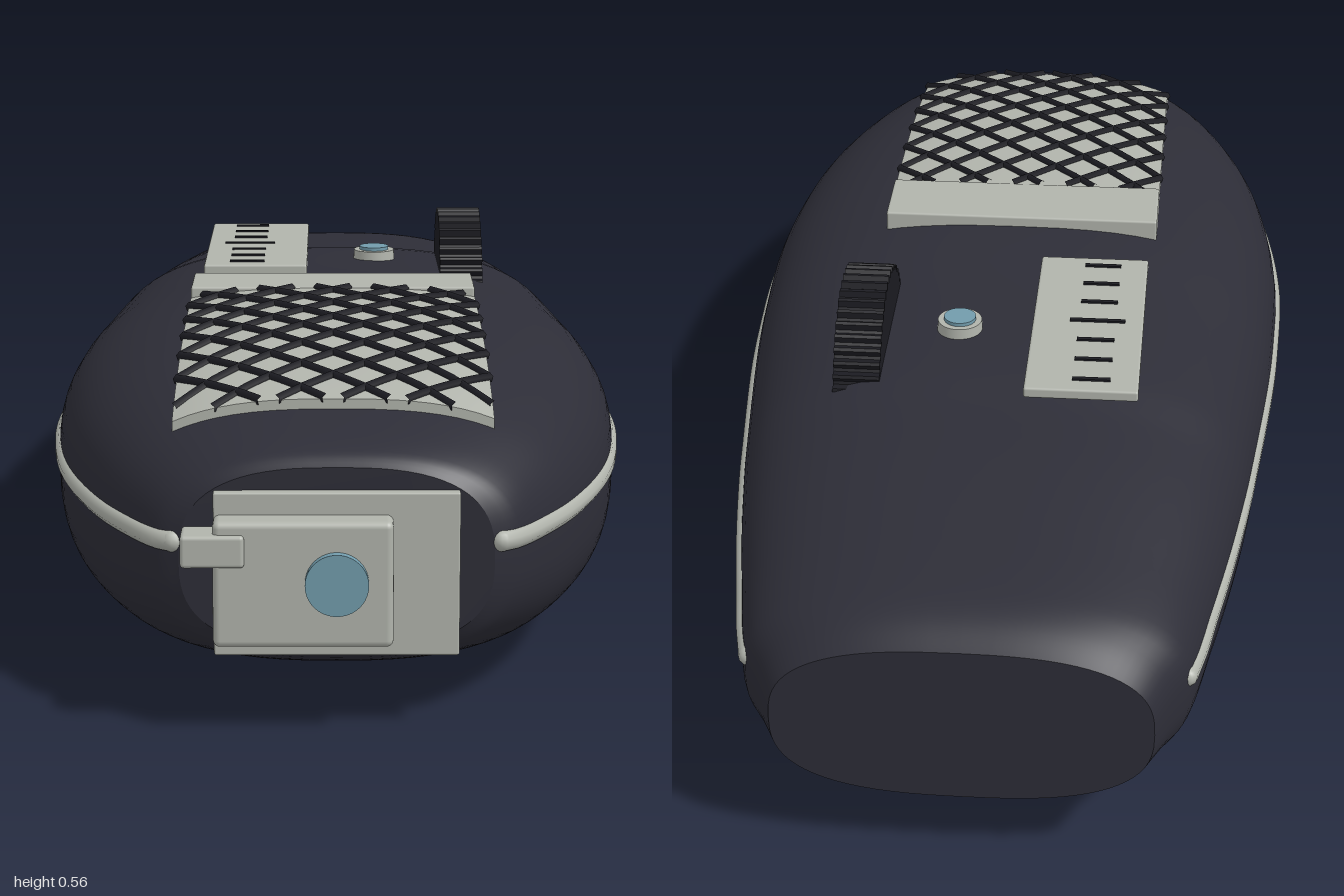
import * as THREE from 'three';
import { RoundedBoxGeometry } from 'three/addons/geometries/RoundedBoxGeometry.js';

const mat = (name, color, extra = {}) => {
  const m = new THREE.MeshStandardMaterial({ color, ...extra });
  m.name = name;
  return m;
};

// Body stations: z, half width, bottom, top
const STATIONS = [
  [-1, 0.28, 0.11, 0.37], [-0.95, 0.305, 0.102, 0.393], [-0.9, 0.332, 0.095, 0.405],
  [-0.75, 0.36, 0.073, 0.424], [-0.6, 0.385, 0.052, 0.441], [-0.45, 0.406, 0.033, 0.455],
  [-0.38, 0.414, 0.026, 0.466], [-0.1, 0.443, 0.007, 0.476], [0.05, 0.452, 0.004, 0.486],
  [0.25, 0.456, 0.004, 0.488], [0.45, 0.437, 0.011, 0.481], [0.6, 0.405, 0.022, 0.467],
  [0.75, 0.352, 0.044, 0.445], [0.85, 0.3, 0.072, 0.421], [0.91, 0.258, 0.097, 0.4], [0.93, 0.225, 0.115, 0.385],
];
const N = 2.7;

// Smooth interpolation between stations
function profile(z) {
  const S = STATIONS, last = S.length - 1;
  let i = 0;
  while (i < last - 1 && z > S[i + 1][0]) i++;
  const slope = (k, c) => {
    const a = S[Math.max(k - 1, 0)], b = S[Math.min(k + 1, last)];
    return (b[c] - a[c]) / (b[0] - a[0]);
  };
  const d = S[i + 1][0] - S[i][0];
  const t = THREE.MathUtils.clamp((z - S[i][0]) / d, 0, 1), t2 = t * t, t3 = t2 * t;
  const [w, bottom, top] = [1, 2, 3].map((c) =>
    (2 * t3 - 3 * t2 + 1) * S[i][c] + (t3 - 2 * t2 + t) * d * slope(i, c)
    + (3 * t2 - 2 * t3) * S[i + 1][c] + (t3 - t2) * d * slope(i + 1, c));
  return { w, c: (top + bottom) / 2, h: (top - bottom) / 2 };
}
const arc = (u) => Math.pow(Math.max(0, 1 - Math.pow(Math.abs(u), N)), 1 / N);
const surfaceY = (x, z, sign = 1) => {
  const p = profile(z);
  return p.c + sign * p.h * arc(x / p.w);
};
const sideX = (y, z) => {
  const p = profile(z);
  return p.w * arc((y - p.c) / p.h);
};

const SEG = 72;
function section(z) {
  const p = profile(z), pts = [];
  for (let j = 0; j < SEG; j++) {
    const a = (j / SEG) * Math.PI * 2, c = Math.cos(a), s = Math.sin(a);
    pts.push(new THREE.Vector2(
      p.w * Math.sign(c) * Math.pow(Math.abs(c), 2 / N),
      p.c + p.h * Math.sign(s) * Math.pow(Math.abs(s), 2 / N)));
  }
  return pts;
}

function bodyGeometry() {
  const rows = 80, pos = [], index = [];
  for (let i = 0; i <= rows; i++) {
    const z = -0.035 + 0.965 * Math.cos((i / rows) * Math.PI);
    for (const p of section(z)) pos.push(p.x, p.y, z);
  }
  for (let i = 0; i < rows; i++) for (let j = 0; j < SEG; j++) {
    const k = (j + 1) % SEG;
    const a = i * SEG + j, b = i * SEG + k, c = a + SEG, d = b + SEG;
    index.push(a, c, b, b, c, d);
  }
  const g = new THREE.BufferGeometry();
  g.setAttribute('position', new THREE.Float32BufferAttribute(pos, 3));
  g.setIndex(index);
  g.computeVertexNormals();
  return g;
}

// Plate bent over the top (sign 1) or underside (sign -1) of the body
function bentPlate(x0, x1, z0, z1, thick, lift, sign = 1) {
  const g = new THREE.BoxGeometry(x1 - x0, thick, z1 - z0, 20, 1, 20);
  g.translate((x0 + x1) / 2, 0, (z0 + z1) / 2);
  const p = g.attributes.position;
  for (let i = 0; i < p.count; i++)
    p.setY(i, p.getY(i) + surfaceY(p.getX(i), p.getZ(i), sign) + sign * lift);
  g.computeVertexNormals();
  return g;
}

export function createModel() {
  const root = new THREE.Group();
  root.name = 'handheldDevice';
  const dark = mat('charcoalShell', 0x2d2d37);
  const black = mat('blackRubber', 0x1b1b21);
  const light = mat('paleGreyTrim', 0xb1b4ac);
  const blue = mat('blueGlass', 0x729cac);
  const add = (name, geo, m, x = 0, y = 0, z = 0) => {
    const mesh = new THREE.Mesh(geo, m);
    mesh.name = name;
    mesh.position.set(x, y, z);
    root.add(mesh);
    return mesh;
  };
  const box = (name, m, x0, x1, y0, y1, z0, z1, r = 0) => add(name,
    r ? new RoundedBoxGeometry(x1 - x0, y1 - y0, z1 - z0, 3, r)
      : new THREE.BoxGeometry(x1 - x0, y1 - y0, z1 - z0),
    m, (x0 + x1) / 2, (y0 + y1) / 2, (z0 + z1) / 2);

  // Shell with flat ends
  add('bodyShell', bodyGeometry(), dark);
  add('frontFace', new THREE.ShapeGeometry(new THREE.Shape(section(0.93))), dark, 0, 0, 0.93);
  add('rearFace', new THREE.ShapeGeometry(new THREE.Shape(section(-1))), dark, 0, 0, -1).rotation.y = Math.PI;

  // Side trim strips with rounded ends
  for (const side of [1, -1]) {
    const pts = [];
    for (let i = 0; i <= 40; i++) {
      const z = -0.9 + 1.82 * Math.sin((i / 40) * Math.PI / 2);
      pts.push(new THREE.Vector3(side * (sideX(0.275, z) - 0.008), 0.275, z));
    }
    add('sideStrip', new THREE.TubeGeometry(new THREE.CatmullRomCurve3(pts), 90, 0.016, 10), light);
    for (const p of [pts[0], pts[40]])
      add('sideStripEnd', new THREE.SphereGeometry(0.016, 12, 8), light, p.x, p.y, p.z);
  }

  // Speaker grille: pale curved panel under a black diamond mesh
  const gx0 = -0.24, gx1 = 0.23, gz0 = 0.21, gz1 = 0.79;
  add('grillePanel', bentPlate(gx0, gx1, gz0, gz1, 0.03, 0), light);
  box('grilleBar', light, gx0, gx1, 0.455, 0.505, 0.08, 0.21, 0.004);
  const step = 0.094;
  for (const dir of [1, -1]) for (let k = -5; k < 8; k++) {
    // Line x = gx0 + k * step + t, clipped to the panel
    const start = k * step + 0.02, width = gx1 - gx0, length = gz1 - gz0;
    const t0 = Math.max(0, -start), t1 = Math.min(length, width - start);
    if (t1 - t0 < 0.03) continue;
    const pts = [];
    for (let i = 0; i <= 8; i++) {
      const t = t0 + (t1 - t0) * i / 8;
      const u = start + t, x = dir > 0 ? gx0 + u : gx1 - u, z = gz0 + t;
      pts.push(new THREE.Vector3(x, surfaceY(x, z) + 0.016, z));
    }
    add('grilleMesh', new THREE.TubeGeometry(new THREE.CatmullRomCurve3(pts), 16, 0.0075, 5), black);
  }

  // Scale plate with tick marks
  box('scalePlate', light, -0.23, -0.05, 0.478, 0.496, -0.475, -0.04, 0.004);
  for (let i = 0; i < 7; i++) {
    const half = i === 3 ? 0.045 : 0.03, z = -0.07 - i * 0.062;
    box('scaleTick', black, -0.155 - half, -0.155 + half, 0.494, 0.499, z - 0.004, z + 0.004);
  }

  // Indicator lamp
  add('lampRing', new THREE.CylinderGeometry(0.036, 0.038, 0.03, 32), light, 0.07, 0.472, -0.25);
  add('lampGlass', new THREE.CylinderGeometry(0.026, 0.026, 0.008, 32), blue, 0.07, 0.489, -0.25);

  // Knurled thumb wheel
  const teeth = 48, wheel = new THREE.Shape();
  for (let i = 0; i < teeth * 4; i++) {
    const a = (i / (teeth * 4)) * Math.PI * 2, r = i % 4 < 2 ? 0.168 : 0.159;
    wheel[i ? 'lineTo' : 'moveTo'](r * Math.cos(a), r * Math.sin(a));
  }
  const wheelGeo = new THREE.ExtrudeGeometry(wheel, { depth: 0.075, bevelEnabled: false });
  wheelGeo.rotateY(Math.PI / 2);
  add('thumbWheel', wheelGeo, black, 0.185, 0.393, -0.25);

  // Front plate, lens housing, tab and lens
  box('frontPlate', light, -0.175, 0.175, 0.112, 0.352, 0.92, 0.945, 0.003);
  box('lensHousing', light, -0.175, 0.08, 0.136, 0.32, 0.935, 0.986, 0.01);
  box('frontTab', light, -0.22, -0.13, 0.255, 0.302, 0.935, 0.994, 0.006);
  const lens = add('lens', new THREE.CylinderGeometry(0.045, 0.045, 0.03, 40), blue, 0, 0.232, 0.985);
  lens.rotation.x = Math.PI / 2;

  // Underside covers and screw
  add('batteryCover', bentPlate(-0.235, 0.235, -0.42, 0.03, 0.008, 0, -1), dark);
  add('frontCover', bentPlate(-0.235, 0.235, 0.42, 0.72, 0.008, 0, -1), dark);
  const sy = surfaceY(0, -0.73, -1);
  add('screwHead', new THREE.CylinderGeometry(0.027, 0.024, 0.014, 24), light, 0, sy - 0.002, -0.73);
  add('screwFace', new THREE.CylinderGeometry(0.02, 0.02, 0.004, 24), black, 0, sy - 0.009, -0.73);
  for (const turn of [1, -1])
    add('screwSlot', new THREE.BoxGeometry(0.03, 0.004, 0.006), light, 0, sy - 0.011, -0.73).rotation.y = turn * Math.PI / 4;

  return root;
}
